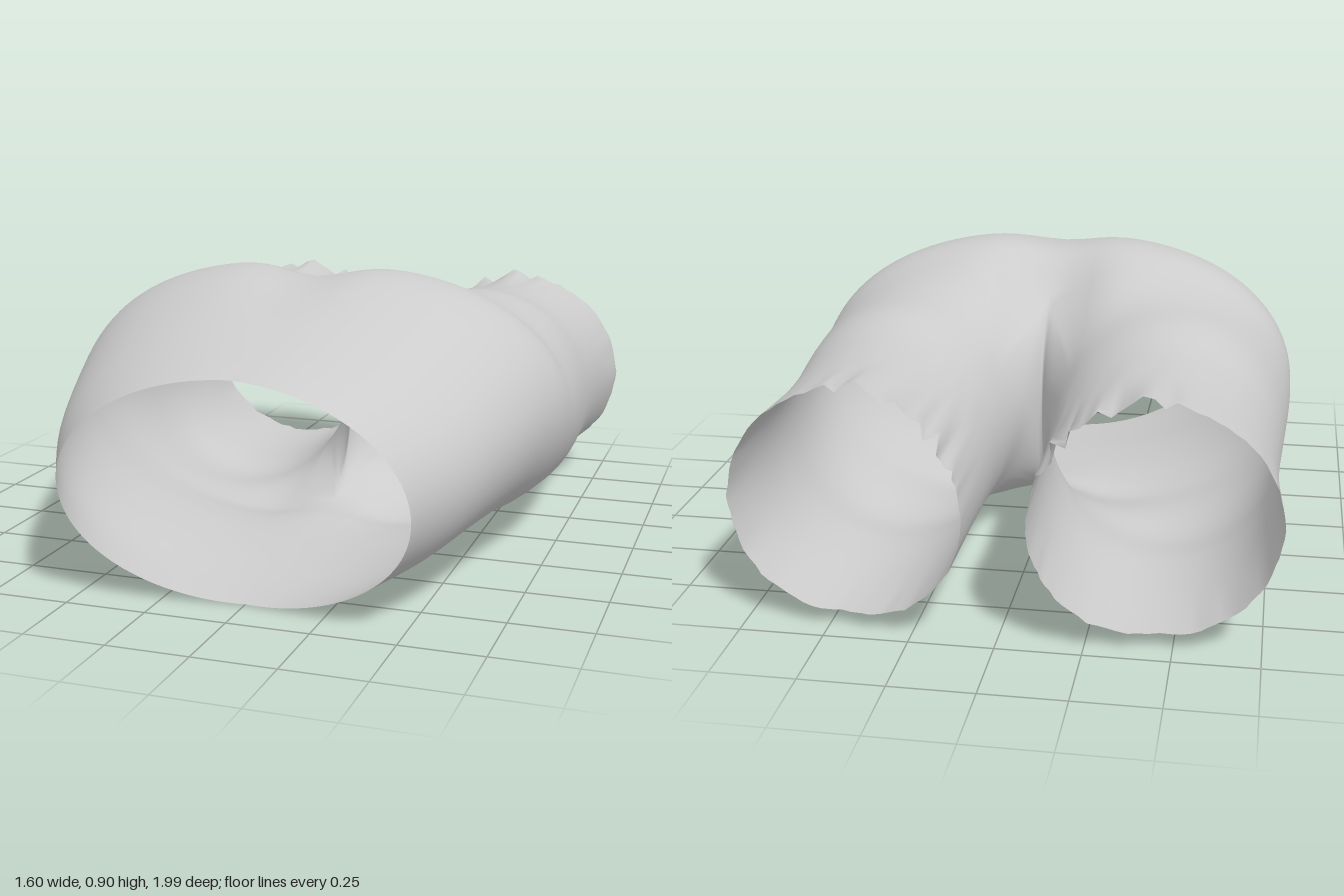
import * as THREE from 'three';
import { mergeVertices } from 'three/addons/utils/BufferGeometryUtils.js';

const OUTER = 60;   // columns round the outside, from the top seam to the bottom seam
const INNER = 20;   // columns round the inside of the leg
const STEPS = 6;    // rows between two key sections

// hip sections: z at top, z at bottom, half width, top, bottom,
// seam dip on top, seam dip below, z bow at the side, roundness (1 = ellipse, less = fuller)
const HIPS = [
  [0.96, 0.85, 0.53, 0.69, 0.0, 0.0, 0.0, 0.07, 1],
  [0.77, 0.70, 0.628, 0.75, 0.015, 0.0, 0.0, 0.045, 0.94],
  [0.55, 0.50, 0.707, 0.83, 0.036, 0.01, 0.0, 0.02, 0.88],
  [0.33, 0.30, 0.77, 0.9, 0.045, 0.033, 0.008, 0, 0.81],
  [0.18, 0.18, 0.797, 0.907, 0.037, 0.05, 0.03, 0, 0.79],
  [0.04, 0.05, 0.802, 0.862, 0.022, 0.11, 0.06, 0, 0.78],
];
// leg sections: z, inner x, outer x, top, bottom
const LEGS = [
  [-0.25, 0.042, 0.787, 0.775, 0.042],
  [-0.45, 0.073, 0.777, 0.735, 0.057],
  [-0.66, 0.083, 0.777, 0.72, 0.055],
  [-0.9, 0.09, 0.797, 0.715, 0.042],
];

const noise = (n) => { const s = Math.sin(n * 12.9898) * 43758.5453; return s - Math.floor(s); };

function hipPoint([zTop, zBottom, halfWidth, top, bottom, dipTop, dipBottom, bow, round], u) {
  const a = u * Math.PI, c = Math.cos(a), s = Math.max(0, Math.sin(a));
  // the underside is a little fuller than the top
  const power = 1 - (1 - round) * (1 - 0.4 * Math.min(0, c));
  const x = u === 0 || u === 1 ? 0 : halfWidth * Math.pow(s, power);
  const seam = (c > 0 ? -dipTop : dipBottom) * Math.exp(-((x / 0.14) ** 2));
  const y = (top + bottom) / 2 + c * (top - bottom) / 2 + seam;
  return new THREE.Vector3(x, y, THREE.MathUtils.lerp(zTop, zBottom, (1 - c) / 2) + bow * s);
}

function legPoint([z, x0, x1, top, bottom], angle, hem, column) {
  const s = Math.sin(angle), c = Math.cos(angle);
  const p = new THREE.Vector3((x0 + x1) / 2 + s * (x1 - x0) / 2, (top + bottom) / 2 + c * (top - bottom) / 2, z);
  if (hem) {
    // frayed hem, longer on the inside, with loose pleats on the upper inner side
    const inside = Math.max(0, -s), frayed = Math.max(0, Math.cos(angle + 0.55)) ** 6;
    const pleat = (noise(column) - 0.5) * (0.008 + 0.07 * frayed) + 0.02 * frayed;
    p.x += s * pleat * 0.6;
    p.y += c * pleat;
    p.z -= 0.085 * inside + 0.025 * Math.max(0, -c) + 0.016 * noise(column + 50) - 0.005;
  }
  return p;
}

// one half of the garment as columns of points running from waist to hem
function halfColumns() {
  const rad = THREE.MathUtils.degToRad;
  const [top, bottom] = [0, 1].map((u) => hipPoint(HIPS[HIPS.length - 1], u));
  // crotch seam, from the bottom seam round to the top seam
  const crotch = new THREE.CubicBezierCurve3(bottom,
    new THREE.Vector3(0, 0.13, -0.2), new THREE.Vector3(0, 0.62, -0.22), top);
  const columns = [];
  for (let i = 0; i <= OUTER + INNER - 1; i++) {
    const outer = i <= OUTER;
    const u = outer ? i / OUTER : (i - OUTER) / INNER;
    const angle = outer ? rad(-55 + 290 * u) : rad(235 + 70 * u);
    const keys = outer ? HIPS.map((h) => hipPoint(h, u)) : [crotch.getPoint(u)];
    LEGS.forEach((l, k) => keys.push(legPoint(l, angle, k === LEGS.length - 1, i)));
    const curve = new THREE.CatmullRomCurve3(keys, false, 'centripetal');
    const rows = (keys.length - 1) * STEPS;
    const points = Array.from({ length: rows + 1 }, (_, r) => curve.getPoint(r / rows));
    // keep the centre seam exactly on the mirror plane
    if (i === 0 || i === OUTER) {
      points.forEach((p, r) => { if (r <= (HIPS.length - 1) * STEPS) p.x = 0; });
    }
    columns.push(points);
  }
  return columns;
}

function clothGeometry() {
  const columns = halfColumns();
  const hipRows = (HIPS.length - 1) * STEPS, legRows = LEGS.length * STEPS;
  const positions = [];
  const triangle = (a, b, c) => {
    for (const p of [a, b, c]) positions.push(p.x, p.y, p.z);
    for (const p of [a, c, b]) positions.push(p.x === 0 ? 0 : -p.x, p.y, p.z);
  };
  const quad = (left, right, r) => {
    // rows are counted from the hem, so short and long columns line up
    const at = (col, n) => col[col.length - 1 - n];
    const a = at(left, r + 1), b = at(right, r + 1), c = at(left, r), d = at(right, r);
    triangle(a, b, c);
    triangle(b, d, c);
  };
  columns.forEach((column, i) => {
    const next = columns[(i + 1) % columns.length];
    const rows = i < OUTER ? hipRows + legRows : legRows;
    for (let r = 0; r < rows; r++) quad(column, next, r);
  });
  let geometry = new THREE.BufferGeometry();
  geometry.setAttribute('position', new THREE.Float32BufferAttribute(positions, 3));
  geometry = mergeVertices(geometry, 1e-5);
  geometry.computeVertexNormals();
  return geometry;
}

export function createModel() {
  const group = new THREE.Group();
  group.name = 'shorts';
  const material = new THREE.MeshStandardMaterial({ color: 0xcccccc, side: THREE.DoubleSide });
  const cloth = new THREE.Mesh(clothGeometry(), material);
  cloth.name = 'shortsCloth';
  group.add(cloth);
  return group;
}
